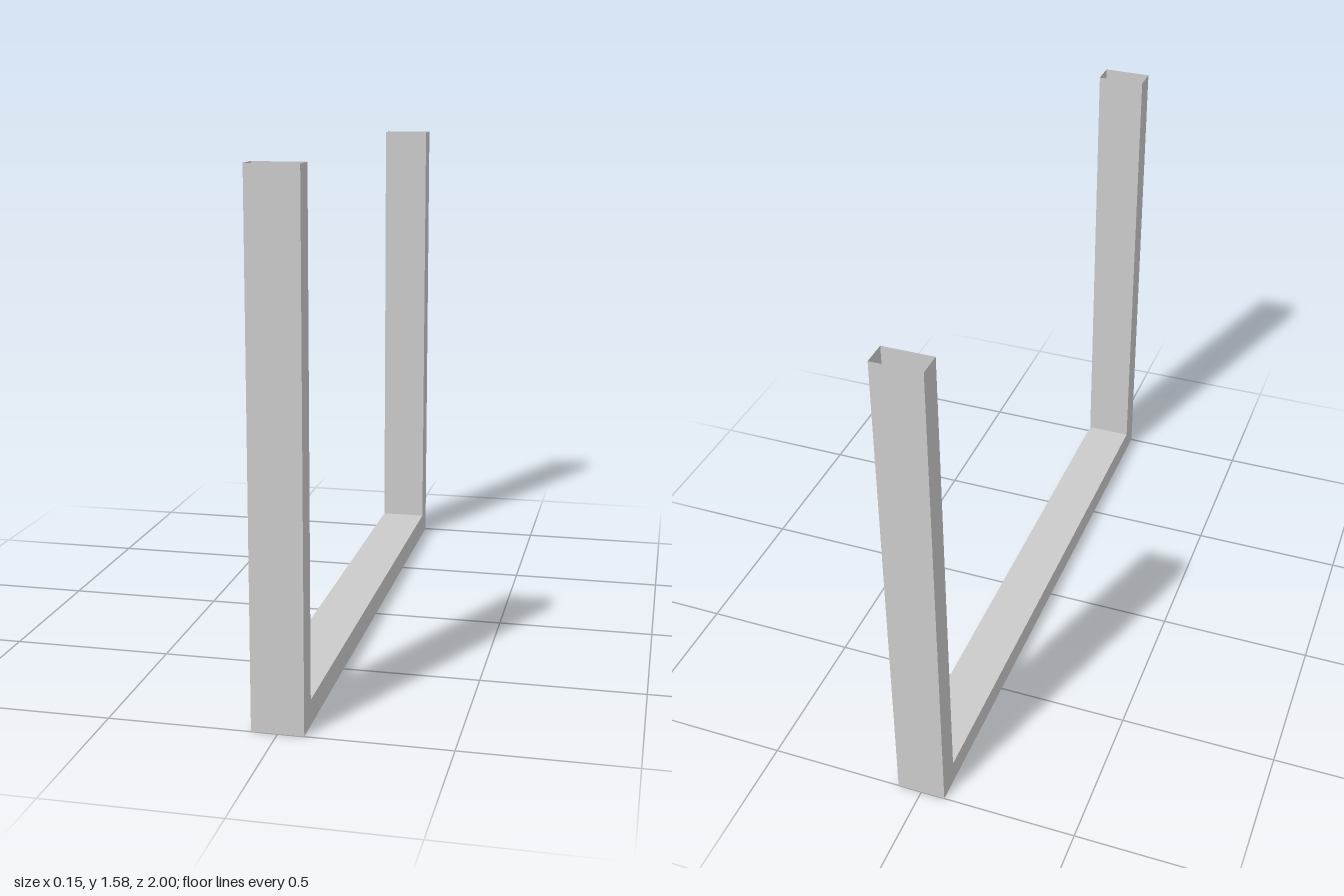
import * as THREE from 'three';

const HALF_WIDTH = 0.077; // half the tube width along x
const DEPTH = 0.077;      // tube thickness in the plane of the U
const HEIGHT = 1.58;
const HALF_LENGTH = 1;

// Rectangular cross-section at a point of the U: outer and inner edge as [y, z]
function section([yo, zo], [yi, zi]) {
  return [
    [HALF_WIDTH, yo, zo],
    [HALF_WIDTH, yi, zi],
    [-HALF_WIDTH, yi, zi],
    [-HALF_WIDTH, yo, zo],
  ];
}

// Skin a list of cross-sections with flat quads, leaving both ends open
function skin(sections) {
  const positions = [];
  for (let i = 0; i < sections.length - 1; i++) {
    for (let j = 0; j < 4; j++) {
      const k = (j + 1) % 4;
      const a = sections[i][j], b = sections[i][k];
      const c = sections[i + 1][k], d = sections[i + 1][j];
      positions.push(...a, ...d, ...c, ...a, ...c, ...b);
    }
  }
  const geometry = new THREE.BufferGeometry();
  geometry.setAttribute('position', new THREE.Float32BufferAttribute(positions, 3));
  geometry.computeVertexNormals();
  return geometry;
}

export function createModel() {
  const group = new THREE.Group();
  group.name = 'uFrame';

  const inner = HALF_LENGTH - DEPTH;
  // Front leg top, mitred front corner, mitred back corner, back leg top
  const sections = [
    section([HEIGHT, HALF_LENGTH], [HEIGHT, inner]),
    section([0, HALF_LENGTH], [DEPTH, inner]),
    section([0, -HALF_LENGTH], [DEPTH, -inner]),
    section([HEIGHT, -HALF_LENGTH], [HEIGHT, -inner]),
  ];

  const material = new THREE.MeshStandardMaterial({
    color: 0xcccccc,
    flatShading: true,
    side: THREE.DoubleSide,
  });

  // Two open-topped legs joined by the base rail
  ['frontLeg', 'baseRail', 'backLeg'].forEach((name, i) => {
    const mesh = new THREE.Mesh(skin(sections.slice(i, i + 2)), material);
    mesh.name = name;
    group.add(mesh);
  });
  return group;
}
